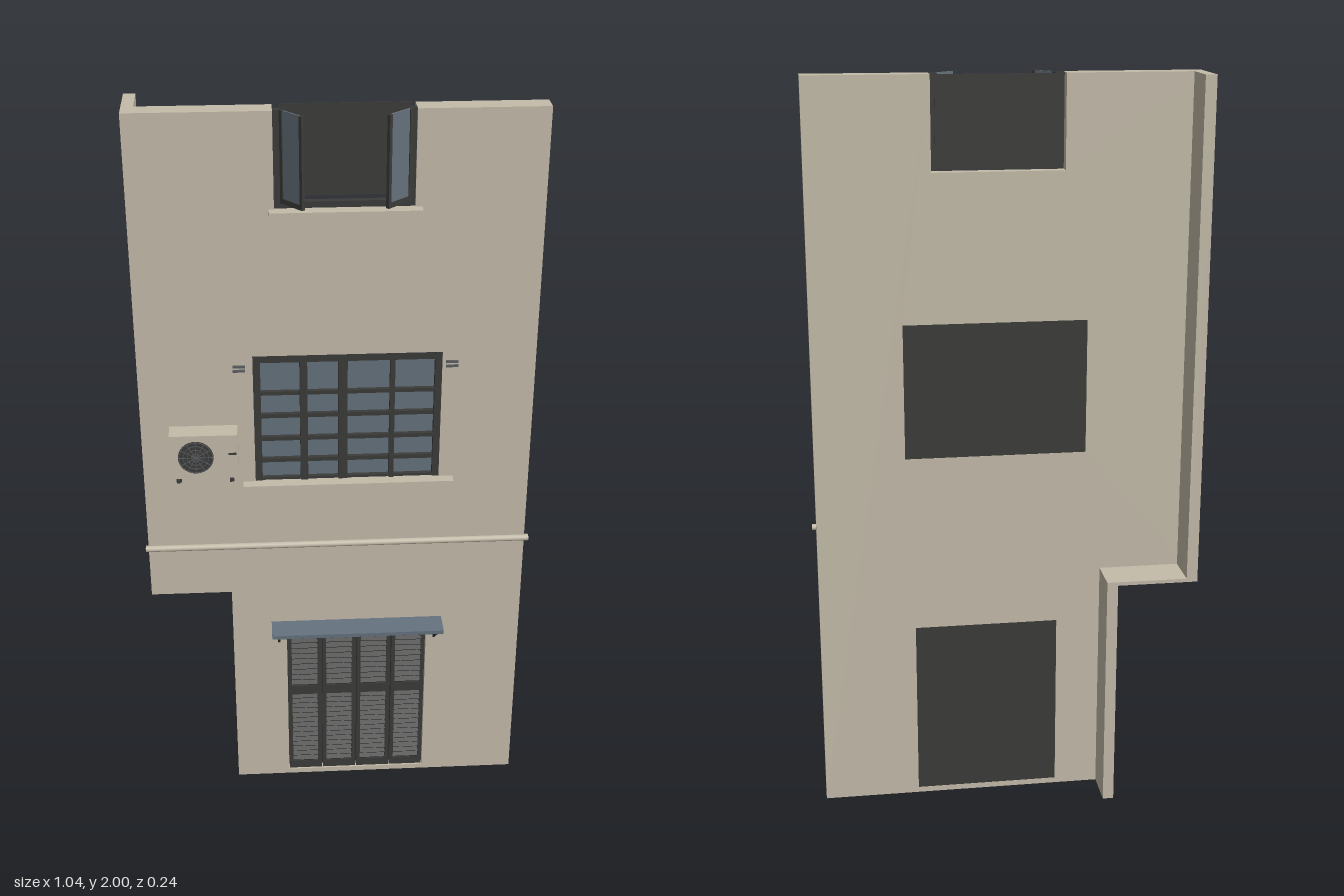
import * as THREE from 'three';

const mat = (name, color, side = THREE.FrontSide) => {
  const m = new THREE.MeshStandardMaterial({ color, side });
  m.name = name;
  return m;
};

export function createModel() {
  const plaster = mat('plaster', 0xc4bcaa);
  const dark = mat('dark wood', 0x3b3b3a);
  const glass = mat('blue grey glass', 0x65717b);
  const canopyBlue = mat('canopy slate', 0x65727f);
  const metal = mat('grey metal', 0x5a5c60);

  const model = new THREE.Group();
  model.name = 'facade';
  const FRONT = 0.045, BACK = -0.01;

  const group = (name, parent = model) => {
    const g = new THREE.Group();
    g.name = name;
    parent.add(g);
    return g;
  };
  // box from its minimum and maximum corners
  const box = (parent, name, m, x0, x1, y0, y1, z0, z1) => {
    const mesh = new THREE.Mesh(new THREE.BoxGeometry(x1 - x0, y1 - y0, z1 - z0), m);
    mesh.position.set((x0 + x1) / 2, (y0 + y1) / 2, (z0 + z1) / 2);
    mesh.name = name;
    parent.add(mesh);
    return mesh;
  };
  // slanting bar in the y-z plane
  const strut = (parent, name, m, x, y0, z0, y1, z1, t) => {
    const len = Math.hypot(y1 - y0, z1 - z0);
    const mesh = new THREE.Mesh(new THREE.BoxGeometry(t, t, len), m);
    mesh.position.set(x, (y0 + y1) / 2, (z0 + z1) / 2);
    mesh.rotation.x = -Math.atan2(y1 - y0, z1 - z0);
    mesh.name = name;
    parent.add(mesh);
  };

  // wall slab: stepped outline, notch for the cut upper window, two openings
  const outline = new THREE.Shape([
    [-0.295, 0], [0.51, 0], [0.51, 2], [0.188, 2], [0.188, 1.757], [-0.157, 1.757],
    [-0.157, 2], [-0.515, 2], [-0.515, 0.65], [-0.295, 0.65],
  ].map(p => new THREE.Vector2(...p)));
  const hole = (x0, x1, y0, y1) => outline.holes.push(new THREE.Path(
    [[x0, y0], [x0, y1], [x1, y1], [x1, y0]].map(p => new THREE.Vector2(...p))));
  hole(-0.145, 0.248, 0.015, 0.51);
  hole(-0.22, 0.268, 1.0, 1.365);
  const wall = new THREE.Mesh(
    new THREE.ExtrudeGeometry(outline, { depth: FRONT - BACK, bevelEnabled: false }), plaster);
  wall.position.z = BACK;
  wall.name = 'wall';
  model.add(wall);

  // side returns and the ledge joining them
  box(model, 'upperReturn', plaster, -0.515, -0.485, 0.65, 2, -0.12, BACK);
  box(model, 'lowerReturn', plaster, -0.295, -0.265, 0, 0.655, -0.12, BACK);
  box(model, 'returnLedge', plaster, -0.485, -0.265, 0.65, 0.66, -0.12, BACK);

  // string course
  const course = new THREE.Mesh(new THREE.CylinderGeometry(0.011, 0.011, 1.043, 8), plaster);
  course.rotation.z = Math.PI / 2;
  course.position.set(-0.001, 0.8, 0.047);
  course.scale.x = 0.75;
  course.name = 'stringCourse';
  model.add(course);

  // sills
  box(model, 'upperSill', plaster, -0.17, 0.205, 1.741, 1.757, 0.04, 0.074);
  box(model, 'middleSill', plaster, -0.253, 0.305, 0.983, 1.0, 0.04, 0.074);

  // louvred door: four leaves with two slatted fields each
  const door = group('shutterDoor');
  box(door, 'doorBacking', dark, -0.145, 0.248, 0.015, 0.51, BACK + 0.001, 0.02);
  const leafW = 0.393 / 4;
  for (let i = 0; i < 4; i++) {
    const leaf = group('doorLeaf', door);
    const x0 = -0.145 + i * leafW + 0.0015, x1 = x0 + leafW - 0.003;
    for (const x of [x0, x1 - 0.011]) box(leaf, 'stile', dark, x, x + 0.011, 0.015, 0.51, 0.02, 0.04);
    for (const [y0, y1] of [[0.015, 0.04], [0.285, 0.315], [0.48, 0.51]])
      box(leaf, 'rail', dark, x0 + 0.011, x1 - 0.011, y0, y1, 0.02, 0.04);
    for (const [y0, y1, n] of [[0.04, 0.285, 14], [0.315, 0.48, 9]])
      for (let k = 0; k < n; k++) {
        const y = y0 + (k + 0.5) * (y1 - y0) / n;
        const slat = box(leaf, 'slat', dark, x0 + 0.011, x1 - 0.011, y - 0.002, y + 0.002, 0.021, 0.041);
        slat.rotation.x = 0.6;
      }
  }

  // canopy over the door
  const canopy = group('canopy');
  box(canopy, 'canopyBoard', canopyBlue, -0.187, 0.289, 0.535, 0.546, FRONT, 0.117);
  for (const x of [-0.167, 0.27]) {
    strut(canopy, 'canopyStrut', dark, x, 0.478, FRONT, 0.535, 0.107, 0.006);
    box(canopy, 'canopyArm', dark, x - 0.003, x + 0.003, 0.529, 0.535, FRONT, 0.112);
  }

  // middle window: backing, panes and lattice
  const win = group('middleWindow');
  box(win, 'windowBacking', dark, -0.22, 0.268, 1.0, 1.365, BACK + 0.001, 0.02);
  box(win, 'windowGlass', glass, -0.205, 0.255, 1.003, 1.35, 0.02, 0.027);
  for (const [x0, x1] of [[-0.22, -0.201], [-0.1, -0.08], [0, 0.024], [0.134, 0.147], [0.25, 0.268]])
    box(win, 'mullion', dark, x0, x1, 1.0, 1.365, 0.02, 0.043);
  for (const [y0, y1] of [[1.0, 1.007], [1.053, 1.064], [1.117, 1.128], [1.184, 1.195], [1.25, 1.26], [1.343, 1.365]])
    box(win, 'glazingBar', dark, -0.215, 0.262, y0, y1, 0.02, 0.039);
  for (const x of [-0.271, 0.277])
    for (const y of [1.323, 1.335])
      box(win, 'wallHook', metal, x, x + 0.032, y, y + 0.006, FRONT - 0.002, 0.05);

  // upper window, cut at the top, with casements swung outwards
  const upper = group('upperWindow');
  box(upper, 'upperBacking', dark, -0.143, 0.178, 1.77, 2, -0.016, -0.013);
  box(upper, 'bottomRail', dark, -0.157, 0.188, 1.757, 1.773, 0.022, 0.039);
  box(upper, 'jamb', dark, -0.157, -0.141, 1.773, 2, 0.022, 0.039);
  box(upper, 'jamb', dark, 0.172, 0.188, 1.773, 2, 0.022, 0.039);
  const casement = (hx, hz, ex, ez) => {
    const leaf = group('casement', upper);
    leaf.position.set(hx, 0, hz);
    leaf.rotation.y = -Math.atan2(ez - hz, ex - hx);
    const w = Math.hypot(ex - hx, ez - hz), t = 0.0045;
    box(leaf, 'casementStile', dark, 0, 0.009, 1.77, 2, -t, t);
    box(leaf, 'casementStile', dark, w - 0.009, w, 1.77, 2, -t, t);
    box(leaf, 'casementRail', dark, 0.009, w - 0.009, 1.77, 1.783, -t, t);
    box(leaf, 'casementGlass', glass, 0.009, w - 0.009, 1.783, 2, -0.002, 0.002);
  };
  casement(-0.138, 0.036, -0.087, 0.095);
  casement(0.175, 0.036, 0.115, 0.091);

  // outdoor cooling unit on brackets
  const unit = group('coolingUnit');
  box(unit, 'casing', plaster, -0.44, -0.263, 1.052, 1.176, 0.056, 0.113);
  const fan = new THREE.Mesh(new THREE.CylinderGeometry(0.046, 0.046, 0.003, 32), dark);
  fan.rotation.x = Math.PI / 2;
  fan.position.set(-0.373, 1.114, 0.1135);
  fan.name = 'fanOpening';
  unit.add(fan);
  for (const r of [0.011, 0.022, 0.033, 0.044]) {
    const ring = new THREE.Mesh(new THREE.TorusGeometry(r, 0.0012, 4, 28), metal);
    ring.position.set(-0.373, 1.114, 0.1155);
    ring.name = 'grilleRing';
    unit.add(ring);
  }
  for (let k = 0; k < 6; k++) {
    const spoke = box(unit, 'grilleSpoke', metal, -0.418, -0.328, 1.1132, 1.1148, 0.115, 0.1165);
    spoke.rotation.z = k * Math.PI / 6;
  }
  box(unit, 'handle', dark, -0.288, -0.268, 1.119, 1.125, 0.112, 0.1145);
  for (const x of [-0.42, -0.282]) {
    box(unit, 'bracketArm', dark, x - 0.005, x + 0.005, 1.043, 1.052, FRONT, 0.12);
    box(unit, 'bracketPlate', dark, x - 0.005, x + 0.005, 1.005, 1.045, FRONT - 0.001, 0.049);
    strut(unit, 'bracketStrut', dark, x, 1.008, FRONT, 1.044, 0.102, 0.006);
  }

  return model;
}
